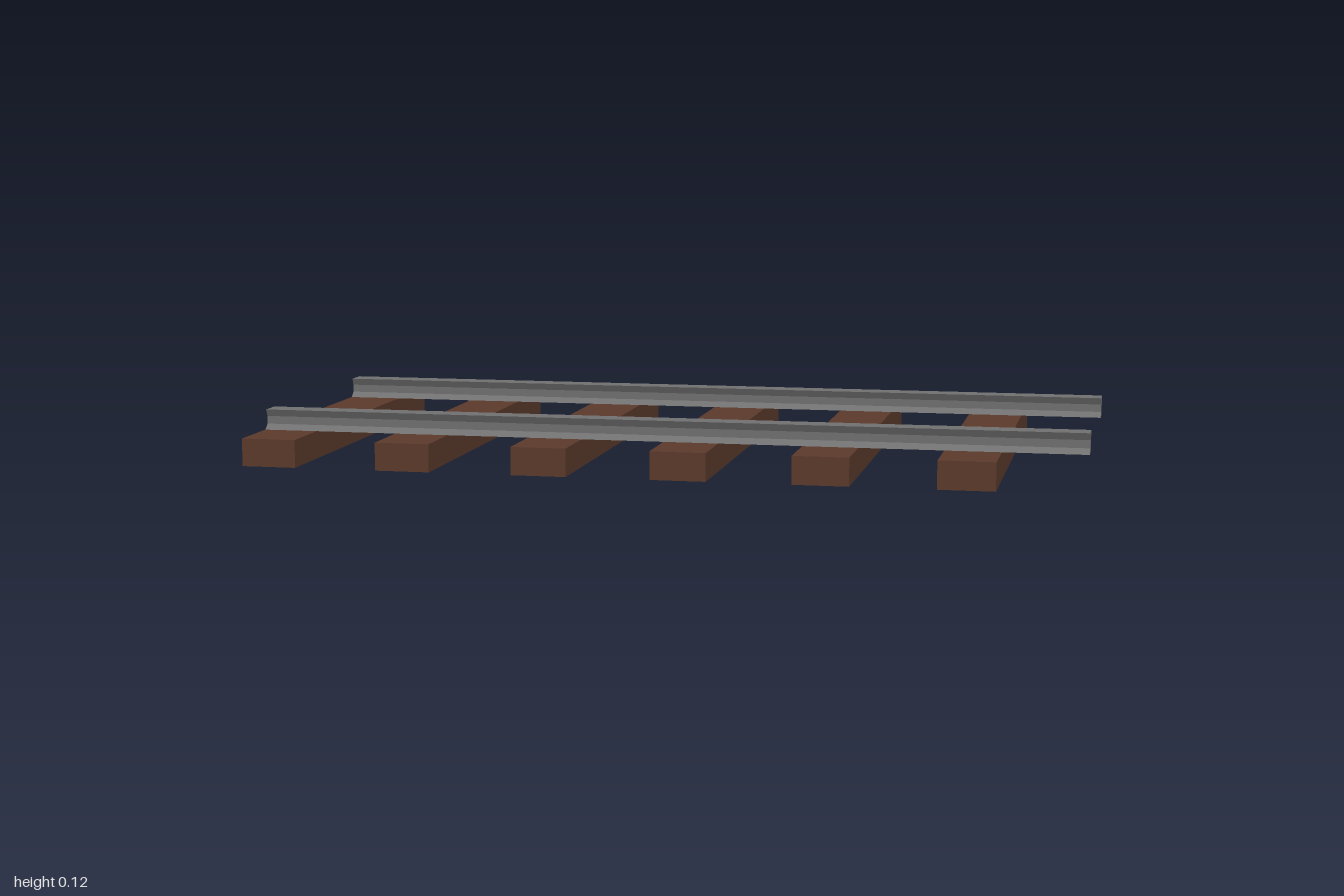
import * as THREE from 'three';

export function createModel() {
  const model = new THREE.Group();
  model.name = 'railwayTrack';
  const wood = new THREE.MeshStandardMaterial({ color: 0x5c3a2c });
  wood.name = 'brown wood';
  const steel = new THREE.MeshStandardMaterial({ color: 0x717171 });
  steel.name = 'grey steel';

  // Evenly spaced sleepers, starting flush with the right end
  const sleeperHeight = 0.067, sleeperWidth = 0.133;
  const sleeperGeometry = new THREE.BoxGeometry(sleeperWidth, sleeperHeight, 1);
  for (let i = 0; i < 6; i++) {
    const sleeper = new THREE.Mesh(sleeperGeometry, wood);
    sleeper.name = `sleeper${i + 1}`;
    sleeper.position.set(-1 + sleeperWidth / 2 + i / 3, sleeperHeight / 2, 0);
    model.add(sleeper);
  }

  // Rail cross-section: sloped foot, narrow web, flared head
  const half = [[0.036, 0], [0.021, 0.013], [0.021, 0.032], [0.028, 0.049]];
  const outline = [...half, ...half.map(([x, y]) => [-x, y]).reverse()];
  const profile = new THREE.Shape(outline.map(([x, y]) => new THREE.Vector2(x, y)));
  const railGeometry = new THREE.ExtrudeGeometry(profile, { depth: 2, bevelEnabled: false });
  railGeometry.translate(0, 0, -1).rotateY(Math.PI / 2);
  for (const [name, side] of [['frontRail', 1], ['backRail', -1]]) {
    const rail = new THREE.Mesh(railGeometry, steel);
    rail.name = name;
    rail.position.set(0, sleeperHeight, side * 0.313);
    model.add(rail);
  }
  return model;
}
